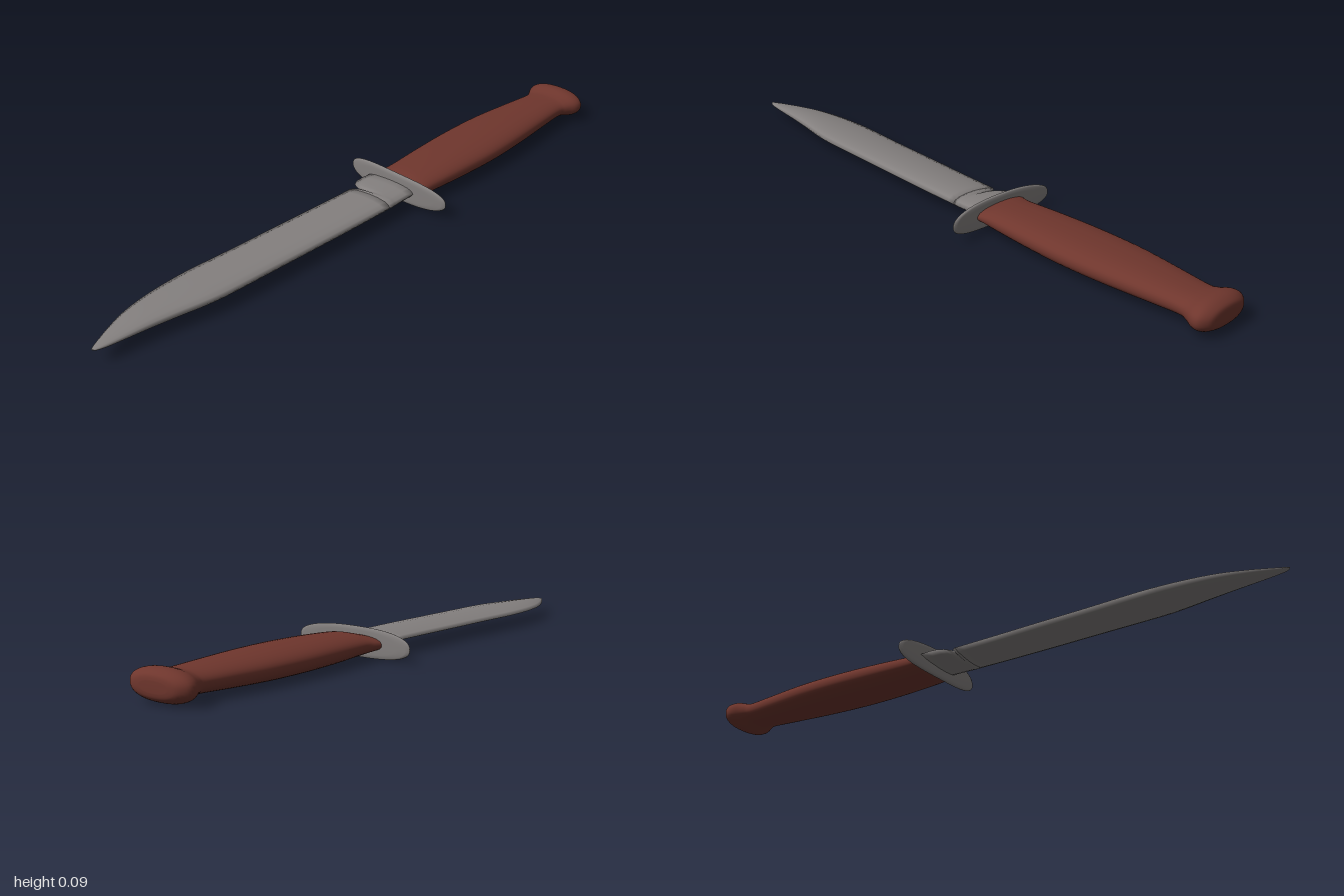
import * as THREE from 'three';

const steel = new THREE.MeshStandardMaterial({ color: 0x84807f });
steel.name = 'steel';
const leather = new THREE.MeshStandardMaterial({ color: 0x6f362d });
leather.name = 'leather';

const MID = 0.049; // height of the centre line
const TILT = 0.035; // slight roll about the long axis

// Oval cross-section with half-extents 1; a higher power makes it squarer
function oval(power, count = 40) {
  const bulge = (v) => Math.sign(v) * Math.abs(v) ** (2 / power);
  return Array.from({ length: count }, (_, i) => {
    const a = (i / count) * Math.PI * 2;
    return [bulge(Math.cos(a)), bulge(Math.sin(a))];
  });
}

// Skin a section along z; stations are [z, left x, right x, half height]
function loft(name, material, section, stations, bend = () => 0) {
  const pos = [];
  const index = [];
  const n = section.length;
  const add = (x, y, z) => pos.push(x, MID + y + x * TILT, z + bend(x));
  for (const [z, x0, x1, h] of stations) {
    for (const [u, v] of section) add((x0 + x1) / 2 + (u * (x1 - x0)) / 2, v * h, z);
  }
  const last = (stations.length - 1) * n;
  for (let r = 0; r < last; r += n) {
    for (let j = 0; j < n; j++) {
      const k = (j + 1) % n;
      index.push(r + j, r + k, r + n + k, r + j, r + n + k, r + n + j);
    }
  }
  // End caps
  const first = stations[0];
  const end = stations[stations.length - 1];
  const c = pos.length / 3;
  add((first[1] + first[2]) / 2, 0, first[0]);
  add((end[1] + end[2]) / 2, 0, end[0]);
  for (let j = 0; j < n; j++) {
    const k = (j + 1) % n;
    index.push(c, k, j, c + 1, last + j, last + k);
  }
  const geo = new THREE.BufferGeometry();
  geo.setAttribute('position', new THREE.Float32BufferAttribute(pos, 3));
  geo.setIndex(index);
  geo.computeVertexNormals();
  const mesh = new THREE.Mesh(geo, material);
  mesh.name = name;
  return mesh;
}

// Insert smooth in-between stations
function smooth(stations, steps = 4) {
  const out = [];
  const n = stations.length;
  for (let i = 0; i < n - 1; i++) {
    const [a, b, c, d] = [i - 1, i, i + 1, i + 2].map((k) => stations[Math.min(n - 1, Math.max(0, k))]);
    for (let s = 0; s < steps; s++) {
      const t = s / steps;
      out.push(b.map((p, q) => p + 0.5 * t * (c[q] - a[q]
        + t * (2 * a[q] - 5 * p + 4 * c[q] - d[q] + t * (3 * (p - c[q]) + d[q] - a[q])))));
    }
  }
  out.push(stations[n - 1]);
  return out;
}

export function createModel() {
  const model = new THREE.Group();
  model.name = 'knife';

  // Swelling grip that flares into a rounded pommel
  model.add(loft('handle', leather, oval(2.3), smooth([
    [-1, -0.02, 0.07, 0.015],
    [-0.995, -0.05, 0.1, 0.031],
    [-0.975, -0.075, 0.125, 0.043],
    [-0.95, -0.077, 0.125, 0.045],
    [-0.92, -0.062, 0.108, 0.037],
    [-0.89, -0.055, 0.099, 0.034],
    [-0.8, -0.067, 0.104, 0.037],
    [-0.65, -0.087, 0.115, 0.041],
    [-0.5, -0.094, 0.119, 0.042],
    [-0.35, -0.091, 0.111, 0.04],
    [-0.22, -0.086, 0.1, 0.034],
    [-0.18, -0.094, 0.098, 0.028],
    [-0.155, -0.102, 0.1, 0.022],
  ])));

  // Thin oval guard, ends swept back toward the handle
  const rim = [
    [-0.007, 0.25], [-0.007, 0.5], [-0.007, 0.75], [-0.006, 0.93], [-0.003, 0.99],
    [0, 1], [0.003, 0.99], [0.006, 0.93], [0.007, 0.75], [0.007, 0.5], [0.007, 0.25],
  ];
  model.add(loft('guard', steel, oval(2.5, 56),
    rim.map(([z, s]) => [-0.153 + z, -0.2 * s, 0.2 * s, 0.046 * s]),
    (x) => -0.32 * x * x + 0.02 * x));

  // Blade section: rounded spine at +1, cutting edge at -1
  const upper = [[0.93, 0.5], [0.75, 0.83], [0.4, 1], [0, 0.95], [-0.4, 0.72], [-0.75, 0.4]];
  const section = [[1, 0], ...upper, [-1, 0], ...upper.map(([u, v]) => [u, -v]).reverse()];

  // Base block, with a notch between it and the cutting edge
  model.add(loft('bladeBase', steel, section, [
    [-0.155, -0.108, 0.08, 0.017],
    [-0.12, -0.112, 0.08, 0.017],
    [-0.09, -0.11, 0.08, 0.017],
    [-0.073, -0.1, 0.08, 0.017],
    [-0.064, -0.085, 0.079, 0.017],
    [-0.06, -0.055, 0.079, 0.017],
    [-0.054, -0.057, 0.079, 0.017],
    [-0.051, -0.085, 0.079, 0.017],
    [-0.04, -0.091, 0.079, 0.017],
  ]));

  // Clip-point blade
  model.add(loft('blade', steel, section, smooth([
    [-0.04, -0.091, 0.079, 0.017],
    [0.1, -0.098, 0.074, 0.018],
    [0.25, -0.107, 0.067, 0.018],
    [0.42, -0.116, 0.058, 0.018],
    [0.58, -0.127, 0.05, 0.018],
    [0.66, -0.128, 0.04, 0.018],
    [0.75, -0.122, 0.021, 0.017],
    [0.83, -0.108, 0.006, 0.015],
    [0.9, -0.084, -0.004, 0.011],
    [0.96, -0.057, -0.013, 0.007],
    [0.99, -0.042, -0.021, 0.004],
    [1, -0.035, -0.03, 0.002],
  ])));

  return model;
}
